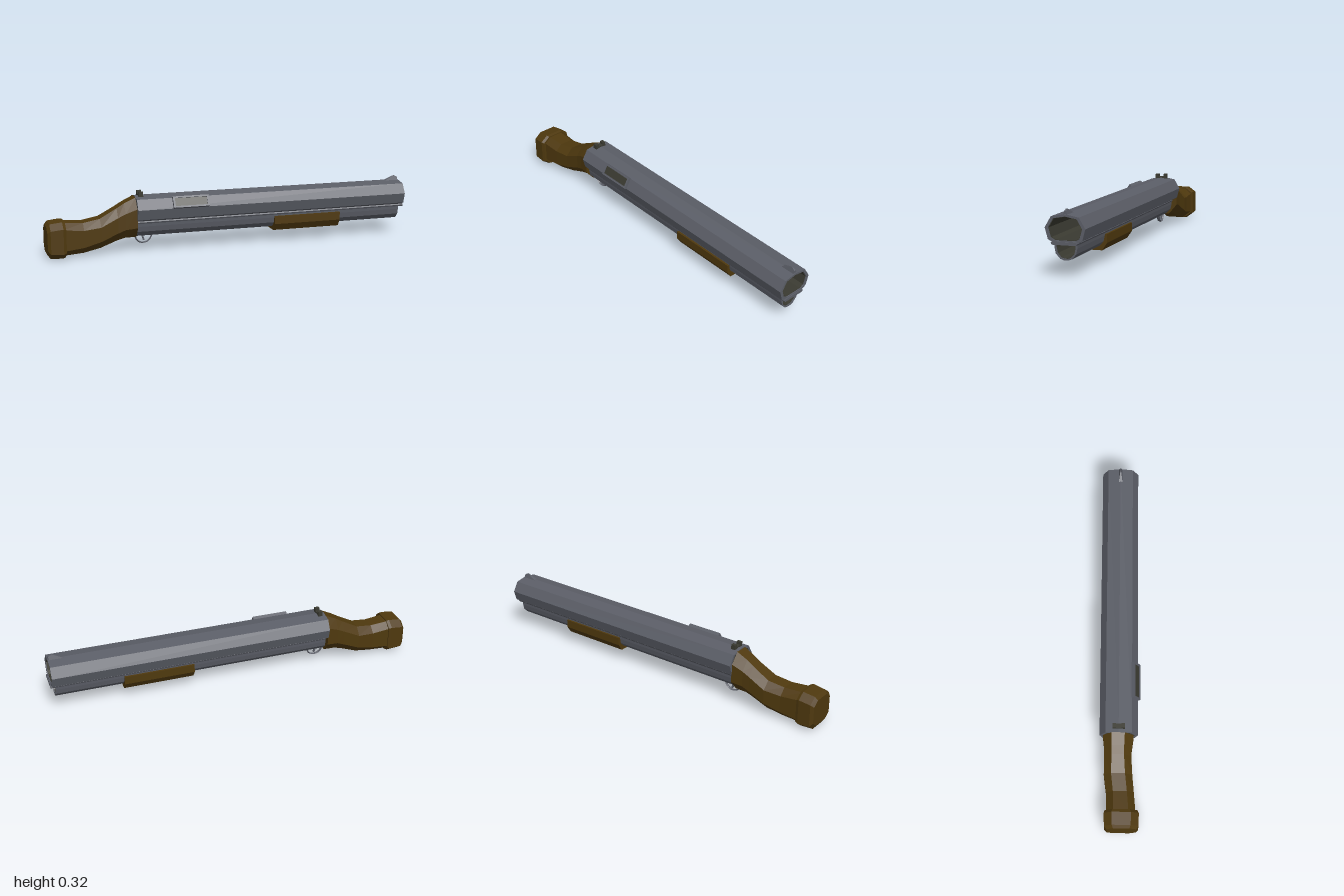
import * as THREE from 'three';

const mat = (name, color, side = THREE.FrontSide) => {
  const m = new THREE.MeshStandardMaterial({ color, side });
  m.name = name;
  return m;
};

export function createModel() {
  const group = new THREE.Group();
  const steel = mat('steel', 0x5b5e67);
  const wood = mat('wood', 0x4f390e);
  const dark = mat('darkMetal', 0x3a3a31, THREE.DoubleSide);

  const add = (name, geometry, material) => {
    const mesh = new THREE.Mesh(geometry, material);
    mesh.name = name;
    group.add(mesh);
    return mesh;
  };
  const box = (name, size, pos, material) => {
    const m = add(name, new THREE.BoxGeometry(...size), material);
    m.position.set(...pos);
    return m;
  };

  // Prism along x from a cross-section of [z, y] points, with an optional hole
  const toVec = (pts) => pts.map(([z, y]) => new THREE.Vector2(-z, y));
  const prism = (name, pts, x0, x1, material, hole) => {
    const shape = new THREE.Shape(toVec(pts));
    if (hole) shape.holes.push(new THREE.Path(toVec(hole)));
    const g = new THREE.ExtrudeGeometry(shape, { depth: x1 - x0, bevelEnabled: false });
    return add(name, g.rotateY(Math.PI / 2).translate(x0, 0, 0), material);
  };
  // Complete a half section (z >= 0, top to bottom) by mirroring it about z = c
  const mirror = (half, c = 0) => [
    ...half.map(([z, y]) => [c + z, y]),
    ...half.filter(([z]) => z > 0).reverse().map(([z, y]) => [c - z, y]),
  ];
  const shrink = (pts, cz, cy, k) => pts.map(([z, y]) => [cz + (z - cz) * k, cy + (y - cy) * k]);

  // Barrel: hollow faceted tube with a dark lining
  const barrel = mirror([[0, 0.298], [0.068, 0.286], [0.099, 0.234], [0.084, 0.18], [0.058, 0.166]], -0.004);
  const bore = shrink(barrel, -0.004, 0.232, 0.84);
  prism('barrel', barrel, -0.53, 0.99, steel, bore);
  prism('barrelLining', bore, -0.4, 0.985, dark, shrink(barrel, -0.004, 0.232, 0.81));
  prism('barrelPlug', bore, -0.53, -0.4, dark);

  // Magazine tube below the barrel
  const tube = mirror([[0.058, 0.16], [0.056, 0.14], [0.05, 0.112], [0.028, 0.088], [0.01, 0.082]]);
  const tubeBore = shrink(tube, 0, 0.125, 0.83);
  prism('magazineTube', tube, -0.53, 0.97, steel, tubeBore);
  prism('magazineLining', tubeBore, -0.4, 0.965, dark, shrink(tube, 0, 0.125, 0.79));
  prism('magazinePlug', tubeBore, -0.53, -0.4, dark);

  // Rail joining the two tubes
  prism('rail', mirror([[0.06, 0.171], [0.064, 0.164], [0.06, 0.156]]), -0.53, 0.995, steel);

  // Fore-end: U-shaped grip around the magazine
  const outer = [[0.068, 0.148], [0.068, 0.105], [0.042, 0.067]];
  const inner = [[0.056, 0.148], [0.055, 0.14], [0.049, 0.112], [0.027, 0.088]];
  const flip = (pts) => pts.map(([z, y]) => [-z, y]).reverse();
  prism('foreEnd', [...outer, ...flip(outer), ...flip(inner).reverse(), ...inner.slice().reverse()],
    0.23, 0.61, wood);

  // Loft of chamfered sections [x, bottom, top, centre z, half width, chamfer z, chamfer y]
  const loft = (name, sections, material) => {
    const rings = sections.map(([x, b, t, c, w, cz, cy]) => [
      [w, b + cy], [w, t - cy], [w - cz, t], [cz - w, t],
      [-w, t - cy], [-w, b + cy], [cz - w, b], [w - cz, b],
    ].map(([z, y]) => [x, y, c + z]));
    const pos = [];
    const tri = (...v) => v.forEach((p) => pos.push(...p));
    const last = rings[rings.length - 1];
    for (let j = 0; j < 8; j++) {
      const k = (j + 1) % 8;
      for (let i = 0; i + 1 < rings.length; i++) {
        const [a, b, c, d] = [rings[i][j], rings[i + 1][j], rings[i + 1][k], rings[i][k]];
        tri(a, b, c);
        tri(a, c, d);
      }
      if (j > 0 && j < 7) {
        tri(rings[0][0], rings[0][j], rings[0][k]);
        tri(last[0], last[k], last[j]);
      }
    }
    const g = new THREE.BufferGeometry();
    g.setAttribute('position', new THREE.Float32BufferAttribute(pos, 3));
    g.computeVertexNormals();
    return add(name, g, material);
  };

  // Stock with a curved wrist
  loft('stock', [
    [-0.92, 0.014, 0.186, 0.009, 0.076, 0.036, 0.03],
    [-0.81, 0.02, 0.178, 0.004, 0.072, 0.036, 0.034],
    [-0.72, 0.037, 0.192, -0.006, 0.074, 0.038, 0.04],
    [-0.63, 0.069, 0.24, -0.008, 0.07, 0.038, 0.045],
    [-0.59, 0.08, 0.264, -0.007, 0.072, 0.04, 0.05],
    [-0.528, 0.082, 0.293, -0.006, 0.08, 0.046, 0.055],
  ], wood);
  loft('buttPad', [
    [-1, 0.028, 0.17, 0.012, 0.076, 0.034, 0.026],
    [-0.985, 0.006, 0.187, 0.012, 0.088, 0.04, 0.03],
    [-0.92, 0.003, 0.194, 0.012, 0.09, 0.04, 0.03],
    [-0.905, 0.008, 0.19, 0.011, 0.084, 0.04, 0.03],
  ], wood);

  // Ejection port: raised frame and dark cover on the sloping facet
  const port = new THREE.Group();
  port.name = 'ejectionPort';
  port.position.set(-0.245, 0.262, 0.082);
  port.rotation.x = -Math.atan2(0.031, 0.052);
  const part = (name, w, h, d, x, y, z, m) => {
    const mesh = new THREE.Mesh(new THREE.BoxGeometry(w, h, d), m);
    mesh.name = name;
    mesh.position.set(x, y, z);
    port.add(mesh);
  };
  for (const s of [-1, 1]) {
    part('portFrameLong', 0.19, 0.009, 0.018, 0, s * 0.027, 0.003, steel);
    part('portFrameEnd', 0.01, 0.063, 0.018, s * 0.092, 0, 0.003, steel);
  }
  part('portCover', 0.176, 0.046, 0.009, 0, 0, 0.003, dark);
  group.add(port);

  // Trigger guard and trigger
  const path = new THREE.CatmullRomCurve3([
    [-0.53, 0.084], [-0.522, 0.06], [-0.502, 0.045], [-0.48, 0.043], [-0.455, 0.053], [-0.437, 0.084],
  ].map(([x, y]) => new THREE.Vector3(x, y, -0.002)));
  const guard = new THREE.TubeGeometry(path, 12, 0.004, 4).toNonIndexed();
  guard.translate(0, 0, 0.002).scale(1, 1, 2.2).translate(0, 0, -0.002);
  guard.computeVertexNormals();
  add('triggerGuard', guard, steel);
  box('trigger', [0.008, 0.032, 0.01], [-0.487, 0.07, -0.002], steel).rotation.z = 0.3;

  // Rear notch sight
  box('rearSightBase', [0.024, 0.012, 0.064], [-0.5, 0.299, -0.003], dark);
  for (const s of [-1, 1]) box('rearSightPost', [0.024, 0.024, 0.018], [-0.5, 0.307, -0.003 + s * 0.023], dark);

  // Front ramp sight
  const ramp = new THREE.Shape([[0.9, 0.292], [0.985, 0.292], [0.985, 0.312], [0.968, 0.322], [0.955, 0.318]]
    .map(([x, y]) => new THREE.Vector2(x, y)));
  const sight = new THREE.ExtrudeGeometry(ramp, { depth: 0.012, bevelEnabled: false });
  // Narrow the ramp towards its crest
  const p = sight.attributes.position;
  for (let i = 0; i < p.count; i++) {
    const k = 1 - Math.max(0, (p.getY(i) - 0.292) / 0.036);
    p.setZ(i, -0.004 + (p.getZ(i) - 0.006) * 2 * k);
  }
  sight.computeVertexNormals();
  add('frontSight', sight, steel);

  return group;
}
